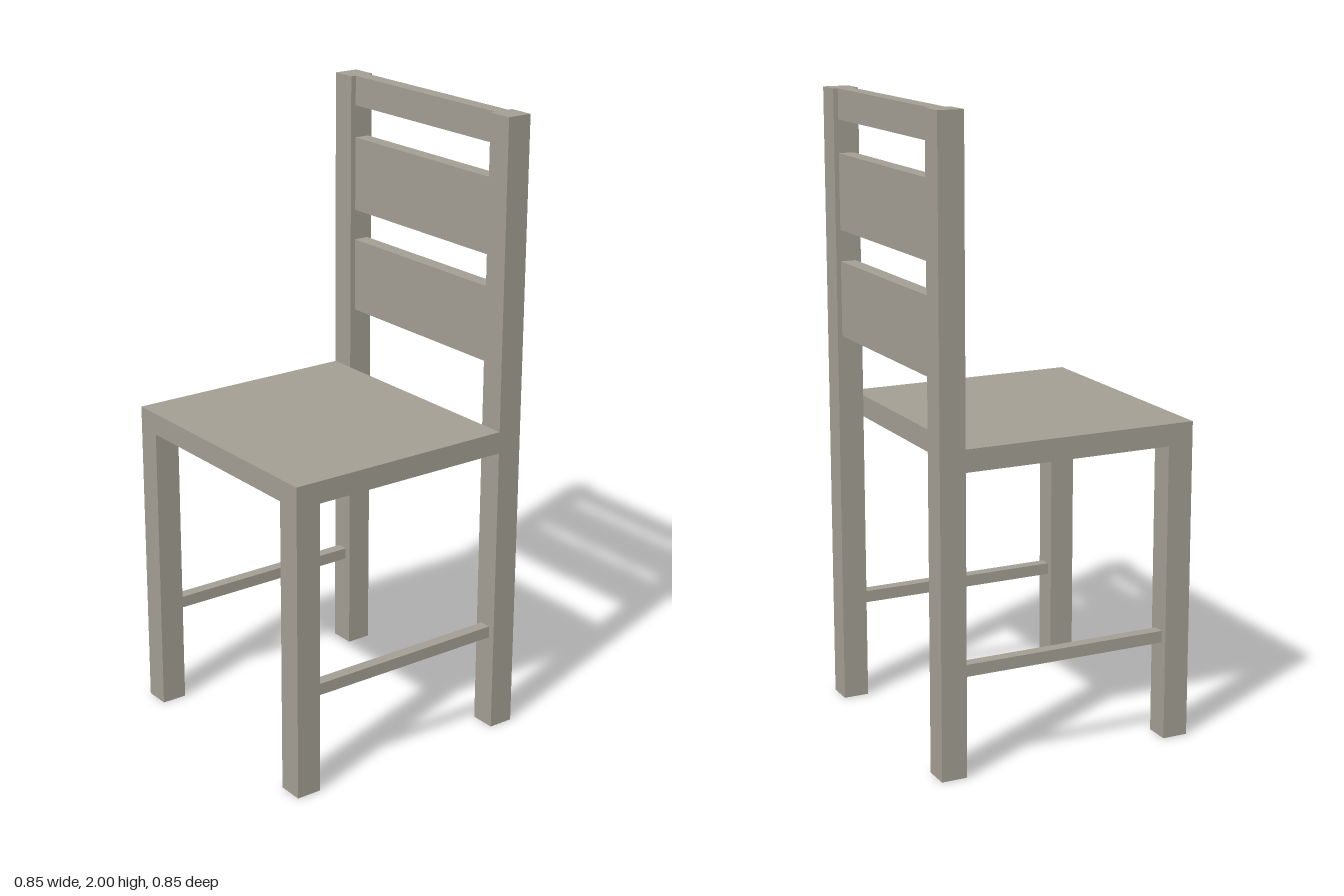
import * as THREE from 'three';

const wood = new THREE.MeshStandardMaterial({ color: 0xa29e93, side: THREE.DoubleSide });
wood.name = 'greyWood';

const HALF = 0.425; // half width and depth of the chair
const INNER = 0.342; // inner face of the legs
const SEAT_BOTTOM = 0.95;
const SEAT_TOP = 1.02;

// Box given by its extents along each axis; hollow legs leave out the bottom face
function block(name, [x0, x1], [y0, y1], [z0, z1], openBottom = false) {
  const geometry = new THREE.BoxGeometry(x1 - x0, y1 - y0, z1 - z0);
  if (openBottom) {
    const index = Array.from(geometry.index.array);
    index.splice(18, 6);
    geometry.setIndex(index);
  }
  geometry.clearGroups();
  geometry.translate((x0 + x1) / 2, (y0 + y1) / 2, (z0 + z1) / 2);
  const mesh = new THREE.Mesh(geometry, wood);
  mesh.name = name;
  return mesh;
}

export function createModel() {
  const chair = new THREE.Group();
  chair.name = 'chair';

  // Seat panel, ending at the front of the back posts
  chair.add(block('seat', [-HALF, HALF], [SEAT_BOTTOM, SEAT_TOP], [-INNER, HALF]));

  // Legs, back posts and side stretchers
  for (const [side, s] of [['left', 1], ['right', -1]]) {
    const legX = s > 0 ? [INNER, HALF] : [-HALF, -INNER];
    const middle = s * (INNER + HALF) / 2;
    chair.add(block(`${side}FrontLeg`, legX, [0, SEAT_BOTTOM], [INNER, HALF], true));
    chair.add(block(`${side}BackPost`, legX, [0, 2], [-HALF, -INNER], true));
    chair.add(block(`${side}Stretcher`, [middle - 0.019, middle + 0.019], [0.312, 0.35], [-INNER, INNER]));
  }

  // Backrest: two wide slats and a narrow top rail
  const slats = [['lowerSlat', 1.22, 1.46], ['upperSlat', 1.56, 1.8], ['topRail', 1.905, 2]];
  for (const [name, y0, y1] of slats) {
    chair.add(block(name, [-INNER, INNER], [y0, y1], [-0.41, -0.36]));
  }

  return chair;
}
